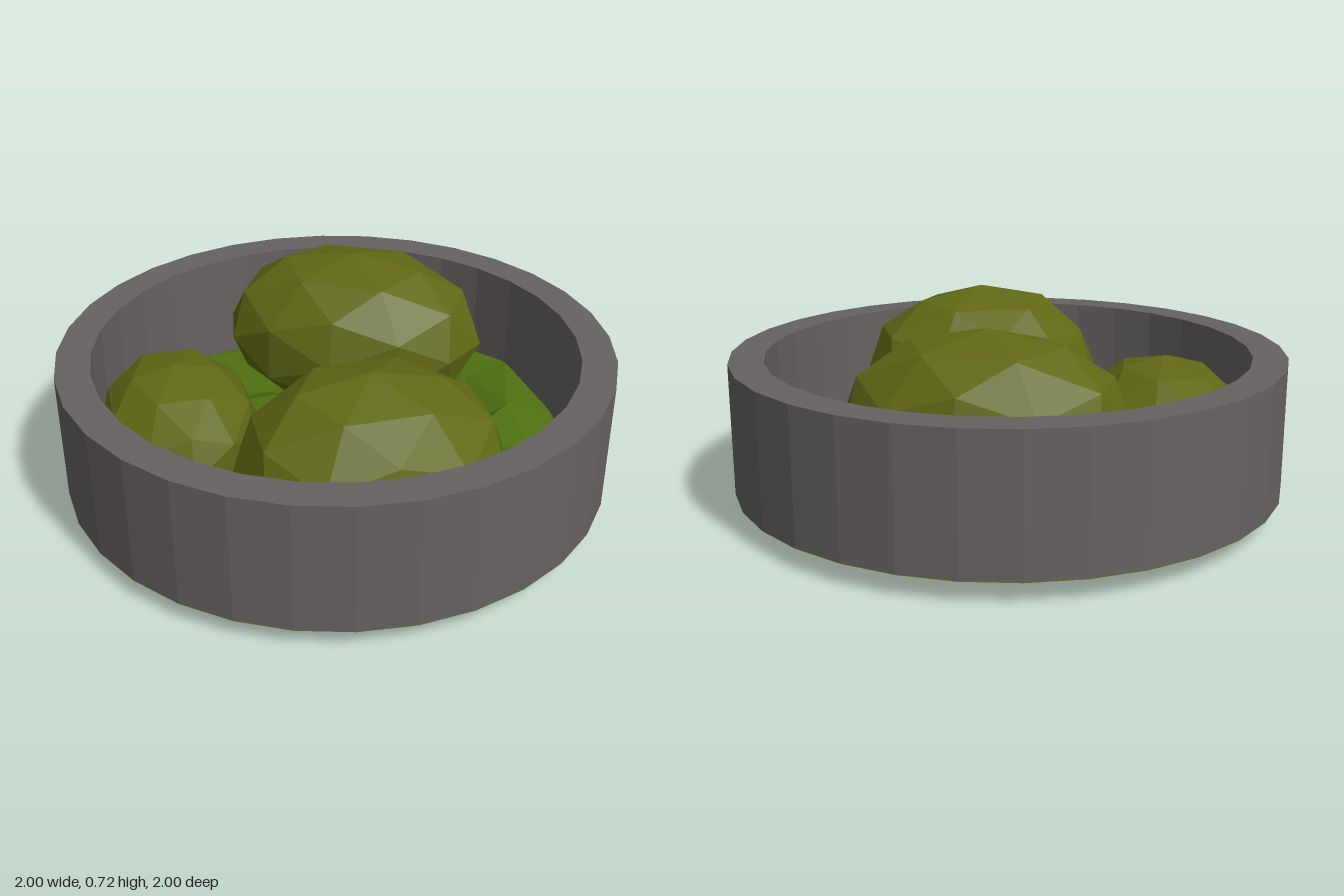
import * as THREE from 'three';

const material = (color, side = THREE.FrontSide) =>
  new THREE.MeshStandardMaterial({ color, flatShading: true, roughness: 0.9, side });

// Repeatable noise in 0..1 from a position, so coincident vertices move together
function noise(x, y, z, seed) {
  const r = v => Math.round(v * 100) + 0;
  const s = Math.sin(r(x) * 12.9898 + r(y) * 78.233 + r(z) * 37.719 + seed * 4.137) * 43758.5453;
  return s - Math.floor(s);
}

function mesh(name, geometry, mat) {
  const m = new THREE.Mesh(geometry, mat);
  m.name = name;
  return m;
}

// Low-poly bush: a faceted sphere with slightly uneven radius
function bush(name, mat, position, size, turn, seed) {
  const geo = new THREE.IcosahedronGeometry(1, 1);
  const p = geo.attributes.position;
  const v = new THREE.Vector3();
  for (let i = 0; i < p.count; i++) {
    v.fromBufferAttribute(p, i);
    v.multiplyScalar(0.985 + 0.03 * noise(v.x, v.y, v.z, seed));
    // keep the top and bottom points at full height
    if (Math.abs(v.y) > 0.97) v.y = Math.sign(v.y);
    p.setXYZ(i, v.x, v.y, v.z);
  }
  geo.scale(...size);
  geo.computeVertexNormals();
  const m = mesh(name, geo, mat);
  m.position.set(...position);
  m.rotation.y = turn;
  return m;
}

// Uneven grass surface inside the wall
function grassGeometry() {
  const rings = [0.88, 0.7, 0.5, 0.28, 0];
  const geo = new THREE.LatheGeometry(rings.map(r => new THREE.Vector2(r, 0)), 16);
  const p = geo.attributes.position;
  for (let i = 0; i < p.count; i++) {
    const x = p.getX(i), z = p.getZ(i);
    const r = Math.hypot(x, z);
    const inner = r > 0.1 && r < 0.8;
    const dx = inner ? (noise(x, 0, z, 2) - 0.5) * 0.1 : 0;
    const dz = inner ? (noise(x, 0, z, 3) - 0.5) * 0.1 : 0;
    p.setXYZ(i, x + dx, 0.1 + 0.1 * noise(x, 0, z, 1), z + dz);
  }
  geo.computeVertexNormals();
  return geo;
}

export function createModel() {
  const group = new THREE.Group();
  group.name = 'planter';
  const stone = material(0x686262, THREE.DoubleSide);
  const grass = material(0x4f7010, THREE.DoubleSide);
  const leaf = material(0x606814);

  // Round stone wall with a flat rim
  const profile = [[1, 0.077], [1, 0.55], [0.876, 0.55], [0.876, 0.077]]
    .map(([r, y]) => new THREE.Vector2(r, y));
  group.add(mesh('wall', new THREE.LatheGeometry(profile, 32), stone));

  // Underside, and the grass bed above it
  const base = new THREE.CircleGeometry(1, 32).rotateX(Math.PI / 2).translate(0, 0.075, 0);
  group.add(mesh('base', base, grass));
  group.add(mesh('grassBed', grassGeometry(), grass));

  // Three bushes, two of them poking through the base
  group.add(
    bush('backBush', leaf, [0.175, 0.395, -0.4], [0.505, 0.325, 0.373], -0.52, 1),
    bush('frontBush', leaf, [-0.01, 0.356, 0.485], [0.47, 0.345, 0.385], 0, 2),
    bush('sideBush', leaf, [-0.575, 0.255, -0.075], [0.295, 0.255, 0.375], 0, 3),
  );
  return group;
}
